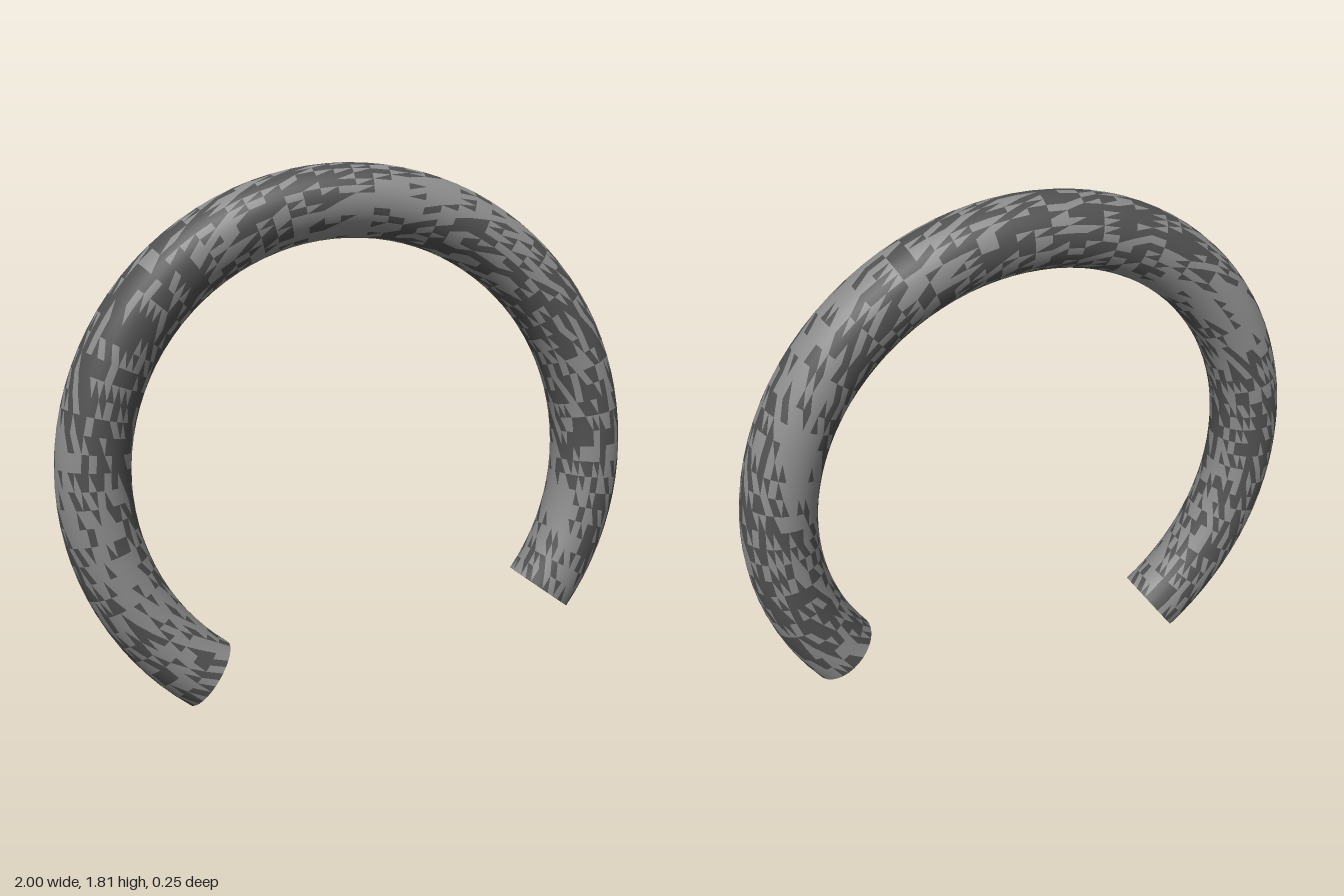
import * as THREE from 'three';

const RING = 0.8775; // radius of the tube's centre line
const TUBE = 0.1225; // radius of the tube
const START = -Math.PI / 5; // lower right end
const ARC = Math.PI * 1.5; // three quarters of a turn
const SIDES = 32;
const STEPS = 72;

// Small seeded generator, 0 to 1
function seeded(seed) {
  return () => {
    seed = (seed * 16807) % 2147483647;
    return seed / 2147483647;
  };
}

export function createModel() {
  const model = new THREE.Group();
  model.name = 'openRing';
  const light = new THREE.MeshStandardMaterial({ color: 0x8b8b8b });
  const dark = new THREE.MeshStandardMaterial({ color: 0x505050 });

  const addMesh = (name, geometry, material) => {
    const mesh = new THREE.Mesh(geometry, material);
    mesh.name = name;
    model.add(mesh);
  };

  // Curved tube, its triangles shared out between dark and light scales;
  // a paler band winds around it, three times as fast as the arc turns
  const tube = new THREE.TorusGeometry(RING, TUBE, SIDES, STEPS, ARC);
  const { index } = tube;
  const { uv } = tube.attributes;
  const random = seeded(12345);
  const lightFaces = [];
  const darkFaces = [];
  for (let i = 0; i < index.count; i += 3) {
    const corners = [index.getX(i), index.getX(i + 1), index.getX(i + 2)];
    const along = uv.getX(corners[0]) * ARC;
    const around = uv.getY(corners[0]) * Math.PI * 2;
    const inBand = Math.cos(around - 3 * along - 1.78) > 0.8;
    const isDark = random() < (inBand ? 0.2 : 0.58);
    (isDark ? darkFaces : lightFaces).push(...corners);
  }
  addMesh('lightScales', tube.clone().setIndex(lightFaces), light);
  addMesh('darkScales', tube.clone().setIndex(darkFaces), dark);

  // Flat discs closing both ends, facing along the arc
  const addCap = (name, angle, facing) => {
    const cap = new THREE.CircleGeometry(TUBE, SIDES);
    cap.rotateX(-facing * Math.PI / 2);
    cap.translate(RING, 0, 0);
    cap.rotateZ(angle);
    addMesh(name, cap, light);
  };
  addCap('leftEndCap', 0, -1);
  addCap('rightEndCap', ARC, 1);

  // Turn the gap downwards and rest the lower end on the ground
  model.rotation.z = START;
  model.position.y = (RING + TUBE) * Math.sin(Math.PI * 0.3);

  return model;
}
